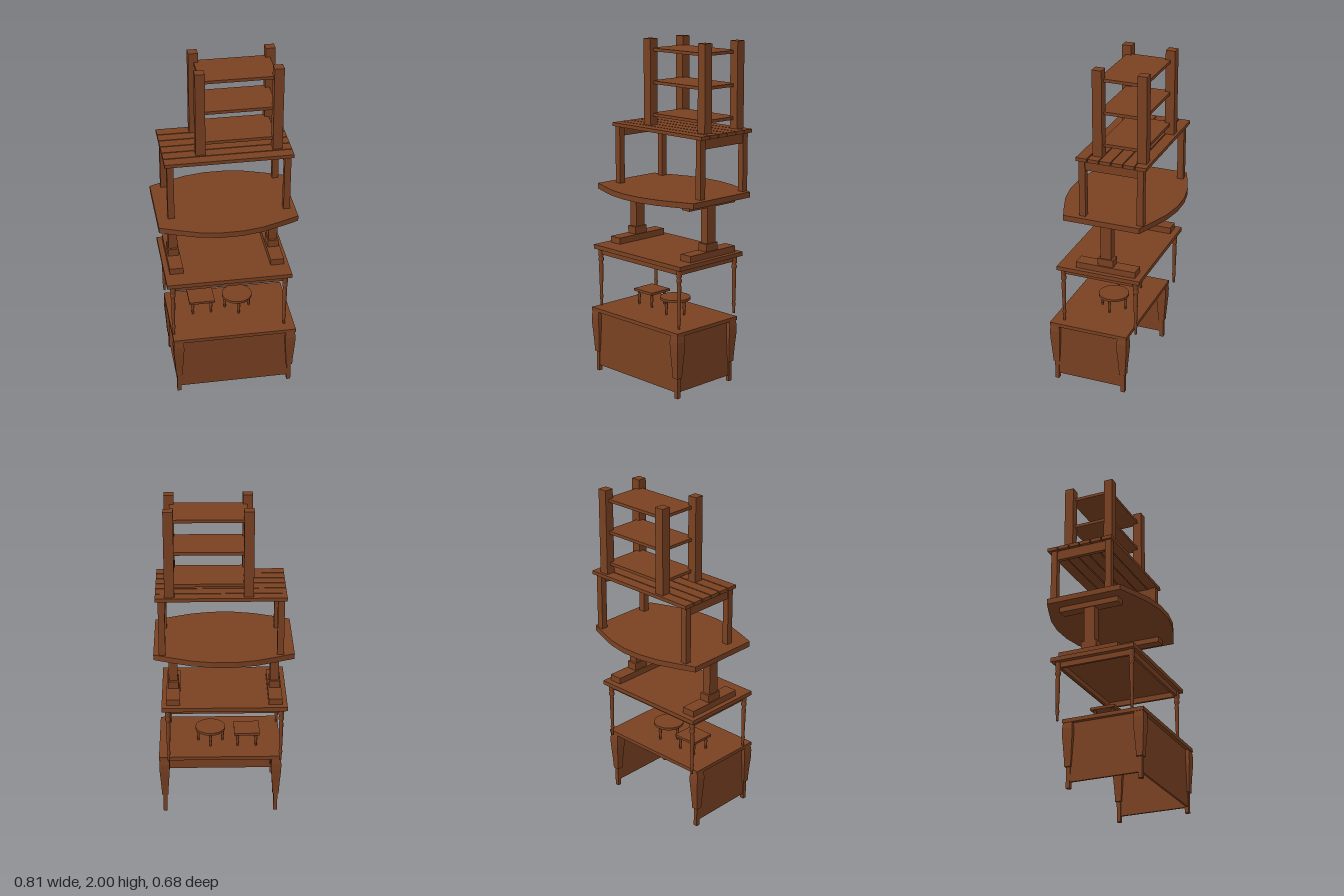
import * as THREE from 'three';

const wood = new THREE.MeshStandardMaterial({ color: 0x7a4122 });
wood.name = 'brownWood';

function add(parent, name, geometry) {
  const mesh = new THREE.Mesh(geometry, wood);
  mesh.name = name;
  parent.add(mesh);
  return mesh;
}

// Box given by its limits on each axis
function box(parent, name, x0, x1, y0, y1, z0, z1) {
  const mesh = add(parent, name, new THREE.BoxGeometry(x1 - x0, y1 - y0, z1 - z0));
  mesh.position.set((x0 + x1) / 2, (y0 + y1) / 2, (z0 + z1) / 2);
  return mesh;
}

// Turned or square-section post from [radius, y] pairs
function turned(parent, name, profile, x, z, sides = 12) {
  const points = profile.map(([r, y]) => new THREE.Vector2(r, y));
  let geo = new THREE.LatheGeometry(points, sides, sides === 4 ? Math.PI / 4 : 0);
  if (sides === 4) {
    geo = geo.toNonIndexed();
    geo.computeVertexNormals();
  }
  const mesh = add(parent, name, geo);
  mesh.position.set(x, 0, z);
  return mesh;
}

function group(parent, name) {
  const g = new THREE.Group();
  g.name = name;
  parent.add(g);
  return g;
}

function corners(xs, zs, fn) {
  for (const x of xs) for (const z of zs) fn(x, z);
}

export function createModel() {
  const model = new THREE.Group();
  model.name = 'furnitureStack';

  // Desk with three panels and an open back
  const desk = group(model, 'desk');
  box(desk, 'deskTop', -0.347, 0.389, 0.375, 0.397, -0.151, 0.336);
  box(desk, 'deskFrontPanel', -0.318, 0.357, 0.035, 0.375, 0.302, 0.314);
  for (const x of [-0.318, 0.357]) {
    box(desk, 'deskSidePanel', x - 0.006, x + 0.006, 0.035, 0.375, -0.12, 0.308);
  }
  const deskLeg = [[0, 0], [0.012, 0], [0.012, 0.12], [0.019, 0.122], [0.02, 0.15],
    [0.026, 0.24], [0.03, 0.29], [0.031, 0.34], [0.028, 0.365], [0.026, 0.375]]
    .map(([r, y]) => [r * Math.SQRT2, y]);
  corners([-0.317, 0.357], [-0.12, 0.306], (x, z) => turned(desk, 'deskLeg', deskLeg, x, z, 4));

  // Square and round stools standing on the desk
  const stoolLeg = [[0, 0.397], [0.006, 0.397], [0.008, 0.43], [0.01, 0.455], [0.008, 0.46], [0.01, 0.48]];
  const square = group(model, 'squareStool');
  box(square, 'squareSeat', -0.22, -0.065, 0.479, 0.494, -0.042, 0.108);
  corners([-0.198, -0.087], [-0.02, 0.086], (x, z) => turned(square, 'squareStoolLeg', stoolLeg, x, z, 8));
  const round = group(model, 'roundStool');
  const seat = add(round, 'roundSeat', new THREE.CylinderGeometry(0.091, 0.091, 0.015, 20));
  seat.position.set(0.078, 0.4865, 0.05);
  for (let i = 0; i < 4; i++) {
    const a = i * Math.PI / 2;
    turned(round, 'roundStoolLeg', stoolLeg, 0.078 + 0.074 * Math.cos(a), 0.05 + 0.074 * Math.sin(a), 8);
  }

  // Table with turned legs and an apron frame
  const table = group(model, 'turnedLegTable');
  box(table, 'tableTop', -0.373, 0.365, 0.747, 0.772, -0.22, 0.293);
  for (const z of [-0.175, 0.264]) box(table, 'longApron', -0.333, 0.325, 0.715, 0.747, z - 0.008, z + 0.008);
  for (const x of [-0.336, 0.328]) box(table, 'shortApron', x - 0.008, x + 0.008, 0.715, 0.747, -0.17, 0.264);
  const tableLeg = [[0, 0.397], [0.007, 0.397], [0.008, 0.43], [0.012, 0.455], [0.009, 0.465],
    [0.011, 0.54], [0.013, 0.61], [0.013, 0.65], [0.01, 0.665], [0.016, 0.675], [0.016, 0.69],
    [0.011, 0.695], [0.016, 0.705], [0.016, 0.747]];
  corners([-0.338, 0.329], [-0.187, 0.266], (x, z) => turned(table, 'tableLeg', tableLeg, x, z));

  // Trestle table with a bowed top
  const trestle = group(model, 'bowedTrestleTable');
  for (const x of [-0.303, 0.297]) {
    box(trestle, 'trestleFoot', x - 0.04, x + 0.04, 0.772, 0.81, -0.184, 0.182);
    box(trestle, 'columnBase', x - 0.032, x + 0.032, 0.81, 0.855, -0.046, 0.048);
    box(trestle, 'column', x - 0.026, x + 0.026, 0.855, 1.1, -0.032, 0.034);
    box(trestle, 'topSupport', x - 0.031, x + 0.031, 1.068, 1.1, -0.188, 0.182);
  }
  const bow = [[-0.403, 0.23], [-0.302, 0.27], [-0.185, 0.312], [-0.063, 0.334],
    [0.063, 0.334], [0.185, 0.312], [0.302, 0.27], [0.403, 0.23]];
  const outline = [...bow, ...bow.map(([x, z]) => [-x, -z])].map(([x, z]) => new THREE.Vector2(x, z));
  const bowed = new THREE.ExtrudeGeometry(new THREE.Shape(outline), { depth: 0.033, bevelEnabled: false });
  bowed.rotateX(-Math.PI / 2);
  add(trestle, 'bowedTop', bowed).position.set(0, 1.1, -0.004);

  // Slatted bench
  const bench = group(model, 'slattedBench');
  for (let i = 0; i < 6; i++) {
    const z = -0.265 + i * 0.0702;
    box(bench, 'slat', -0.353, 0.386, 1.475, 1.496, z, z + 0.064);
  }
  corners([-0.321, 0.352], [-0.226, 0.121], (x, z) =>
    box(bench, 'benchLeg', x - 0.019, x + 0.019, 1.133, 1.475, z - 0.019, z + 0.019));
  for (const x of [-0.321, 0.352]) {
    box(bench, 'benchSideRail', x - 0.012, x + 0.012, 1.417, 1.475, -0.207, 0.102);
  }

  // Shelf unit with four posts
  const shelves = group(model, 'shelfUnit');
  corners([-0.138, 0.305], [-0.221, 0.042], (x, z) =>
    box(shelves, 'shelfPost', x - 0.028, x + 0.028, 1.496, 2, z - 0.028, z + 0.028));
  for (const y of [1.547, 1.737, 1.927]) {
    box(shelves, 'shelf', -0.134, 0.302, y, y + 0.018, -0.223, 0.045);
  }
  return model;
}
